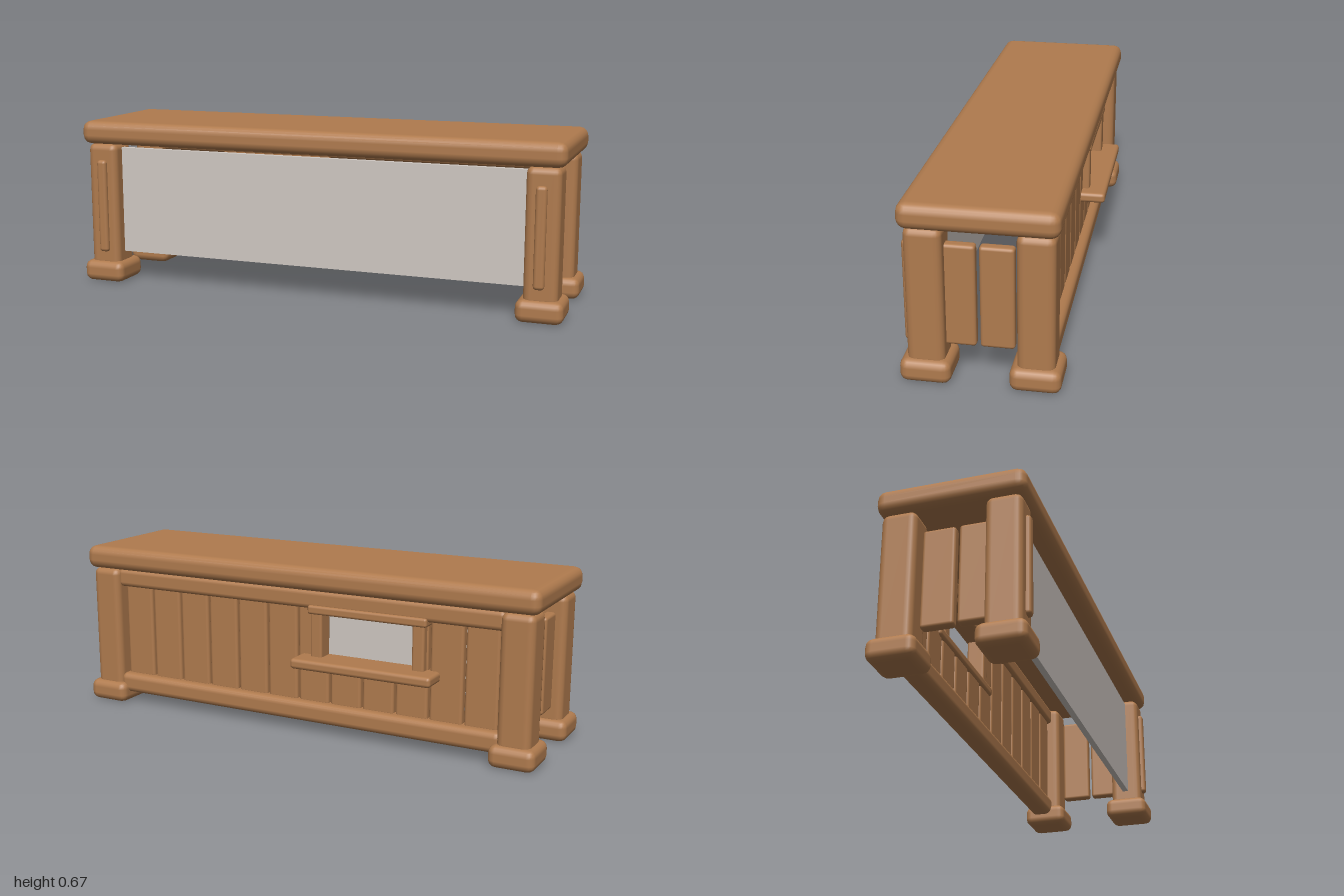
import * as THREE from 'three';
import { RoundedBoxGeometry } from 'three/addons/geometries/RoundedBoxGeometry.js';

const wood = new THREE.MeshStandardMaterial({ color: 0xb07b4e });
const pale = new THREE.MeshStandardMaterial({ color: 0xcfc8c2 });

// Rounded block given by its extents along each axis
function block(parent, name, [x0, x1], [y0, y1], [z0, z1], radius, material = wood) {
  const w = x1 - x0, h = y1 - y0, d = z1 - z0;
  const geometry = radius > 0
    ? new RoundedBoxGeometry(w, h, d, 2, radius)
    : new THREE.BoxGeometry(w, h, d);
  const mesh = new THREE.Mesh(geometry, material);
  mesh.name = name;
  mesh.position.set((x0 + x1) / 2, (y0 + y1) / 2, (z0 + z1) / 2);
  parent.add(mesh);
  return mesh;
}

// Extent along x, mirrored when side is -1
const mirrored = (side, a, b) => (side > 0 ? [a, b] : [-b, -a]);

export function createModel() {
  const model = new THREE.Group();
  model.name = 'counter';

  // Counter top
  block(model, 'counterTop', [-0.995, 0.995], [0.577, 0.672], [-0.262, 0.292], 0.036);

  for (const side of [1, -1]) {
    const label = side > 0 ? 'left' : 'right';

    // Corner posts on chunky feet
    for (const [end, z] of [['Front', 0.207], ['Back', -0.178]]) {
      block(model, `${label}${end}Post`, mirrored(side, 0.845, 0.975), [0.06, 0.579], [z - 0.067, z + 0.067], 0.028);
      block(model, `${label}${end}Foot`, mirrored(side, 0.82, 1), [0, 0.086], [z - 0.091, z + 0.091], 0.03);
    }

    // Raised strip on the front post
    block(model, `${label}PostStrip`, mirrored(side, 0.885, 0.927), [0.127, 0.512], [0.24, 0.291], 0.014);

    // Upright planks closing the end
    for (const z of [-0.1, 0.035]) {
      block(model, `${label}EndPlank`, mirrored(side, 0.89, 0.932), [0.127, 0.51], [z, z + 0.122], 0.012);
    }
  }

  // Front panel
  block(model, 'frontPanel', [-0.85, 0.85], [0.122, 0.56], [0.195, 0.22], 0, pale);

  // Back rails
  block(model, 'backLowerRail', [-0.86, 0.86], [0.042, 0.125], [-0.235, -0.145], 0.025);
  block(model, 'backUpperRail', [-0.86, 0.86], [0.503, 0.579], [-0.225, -0.145], 0.02);

  // Back planks, cut short around the serving hatch
  const back = new THREE.Group();
  back.name = 'backPlanks';
  model.add(back);
  const hatch = [-0.535, -0.085];
  const depth = [-0.2, -0.16];
  const pitch = 0.14;
  for (let i = 0; i < 12; i++) {
    const x0 = -0.84 + i * pitch + 0.004, x1 = x0 + pitch - 0.008;
    if (x1 < hatch[0] || x0 > hatch[1]) {
      block(back, 'backPlank', [x0, x1], [0.115, 0.515], depth, 0.012);
      continue;
    }
    block(back, 'shortBackPlank', [x0, x1], [0.115, 0.295], depth, 0.012);
    if (x0 < hatch[0]) block(back, 'hatchSidePlank', [x0, hatch[0]], [0.285, 0.515], depth, 0.01);
    if (x1 > hatch[1]) block(back, 'hatchSidePlank', [hatch[1], x1], [0.285, 0.515], depth, 0.01);
  }

  // Hatch frame with its shelf
  block(model, 'hatchShelf', [-0.605, -0.015], [0.275, 0.316], [-0.298, -0.15], 0.014);
  block(model, 'hatchHead', [-0.56, -0.06], [0.485, 0.52], [-0.235, -0.15], 0.01);
  for (const x of [-0.55, -0.12]) {
    block(model, 'hatchJamb', [x, x + 0.05], [0.3, 0.5], [-0.228, -0.155], 0.01);
  }

  return model;
}
